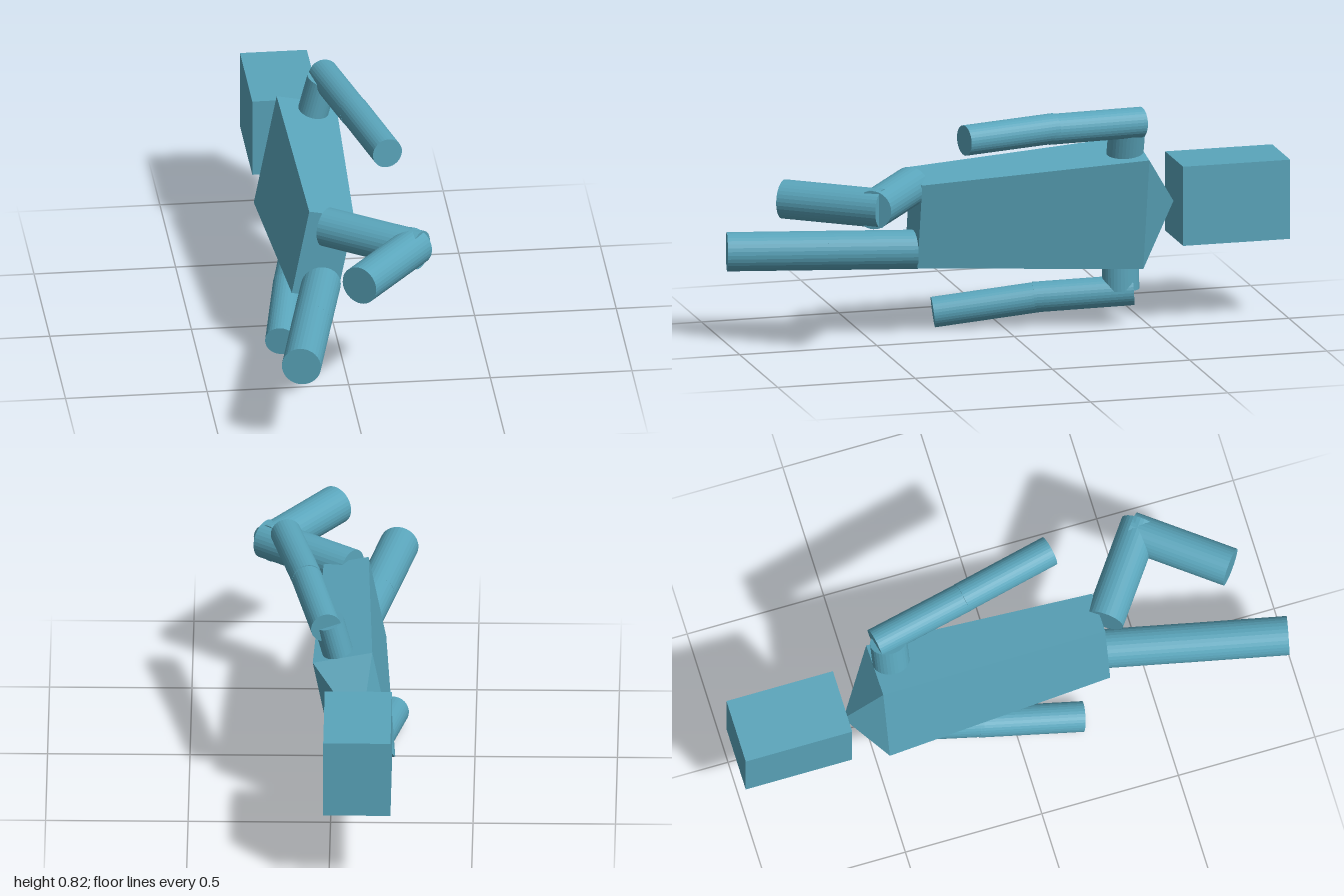
import * as THREE from 'three';

export function createModel() {
  const model = new THREE.Group();
  model.name = 'figure';
  const blue = new THREE.MeshStandardMaterial({ color: 0x5aa5bb, flatShading: true });
  blue.name = 'steel blue';

  const add = (name, geometry) => {
    const mesh = new THREE.Mesh(geometry, blue);
    mesh.name = name;
    model.add(mesh);
    return mesh;
  };

  // Capped cylinder running from one point to another
  const limb = (name, from, to, radius, depthScale = 1) => {
    const a = new THREE.Vector3(...from), b = new THREE.Vector3(...to);
    const dir = b.clone().sub(a);
    const mesh = add(name, new THREE.CylinderGeometry(radius, radius, dir.length(), 32));
    mesh.position.copy(a).add(b).multiplyScalar(0.5);
    mesh.quaternion.setFromUnitVectors(new THREE.Vector3(0, 1, 0), dir.normalize());
    mesh.scale.z = depthScale;
    return mesh;
  };

  // Head
  add('head', new THREE.BoxGeometry(0.236, 0.286, 0.39)).position.set(-0.099, 0.438, -0.805);

  // Torso: tilted rectangle sections, hips to shoulders, closed by a pointed neck
  const tilt = -0.194;
  const section = (x, y, z, w, h) => [[-1, -1], [1, -1], [1, 1], [-1, 1]].map(([u, v]) =>
    new THREE.Vector3(u * w / 2, v * h / 2, 0)
      .applyAxisAngle(new THREE.Vector3(0, 0, 1), tilt)
      .add(new THREE.Vector3(x, y, z)));
  const hips = section(-0.074, 0.438, 0.345, 0.161, 0.32);
  const shoulders = section(-0.082, 0.438, -0.475, 0.213, 0.419);
  const tip = new THREE.Vector3(-0.108, 0.428, -0.61);
  const torso = [hips[0], hips[1], hips[2], hips[0], hips[2], hips[3]];
  const neck = [shoulders[0], shoulders[1], shoulders[2], shoulders[0], shoulders[2], shoulders[3]];
  for (let i = 0; i < 4; i++) {
    const j = (i + 1) % 4;
    torso.push(hips[i], shoulders[i], shoulders[j], hips[i], shoulders[j], hips[j]);
    neck.push(shoulders[i], tip, shoulders[j]);
  }
  for (const [name, points] of [['torso', torso], ['neck', neck]]) {
    const geometry = new THREE.BufferGeometry().setFromPoints(points);
    geometry.computeVertexNormals();
    add(name, geometry);
  }

  // Left arm, on the upper side
  limb('leftShoulder', [-0.033, 0.6, -0.41], [0.008, 0.755, -0.41], 0.054, 1.22);
  limb('leftUpperArm', [0.016, 0.752, -0.457], [0.09, 0.766, -0.1], 0.054);
  limb('leftForearm', [0.086, 0.768, -0.12], [0.167, 0.766, 0.228], 0.054);

  // Right arm, on the lower side
  limb('rightShoulder', [-0.085, 0.3, -0.41], [-0.079, 0.13, -0.41], 0.054, 1.22);
  limb('rightUpperArm', [-0.071, 0.126, -0.453], [-0.146, 0.104, -0.11], 0.054);
  limb('rightForearm', [-0.144, 0.104, -0.125], [-0.212, 0.057, 0.237], 0.054);

  // Left leg, bent at the knee
  limb('leftThigh', [-0.064, 0.556, 0.36], [0.244, 0.556, 0.583], 0.069);
  limb('leftShin', [0.23, 0.556, 0.543], [0, 0.556, 0.84], 0.069);

  // Right leg, stretched out
  limb('rightThigh', [-0.078, 0.322, 0.33], [-0.146, 0.322, 0.64], 0.069);
  limb('rightShin', [-0.142, 0.322, 0.62], [-0.221, 0.322, 0.985], 0.069);

  return model;
}
